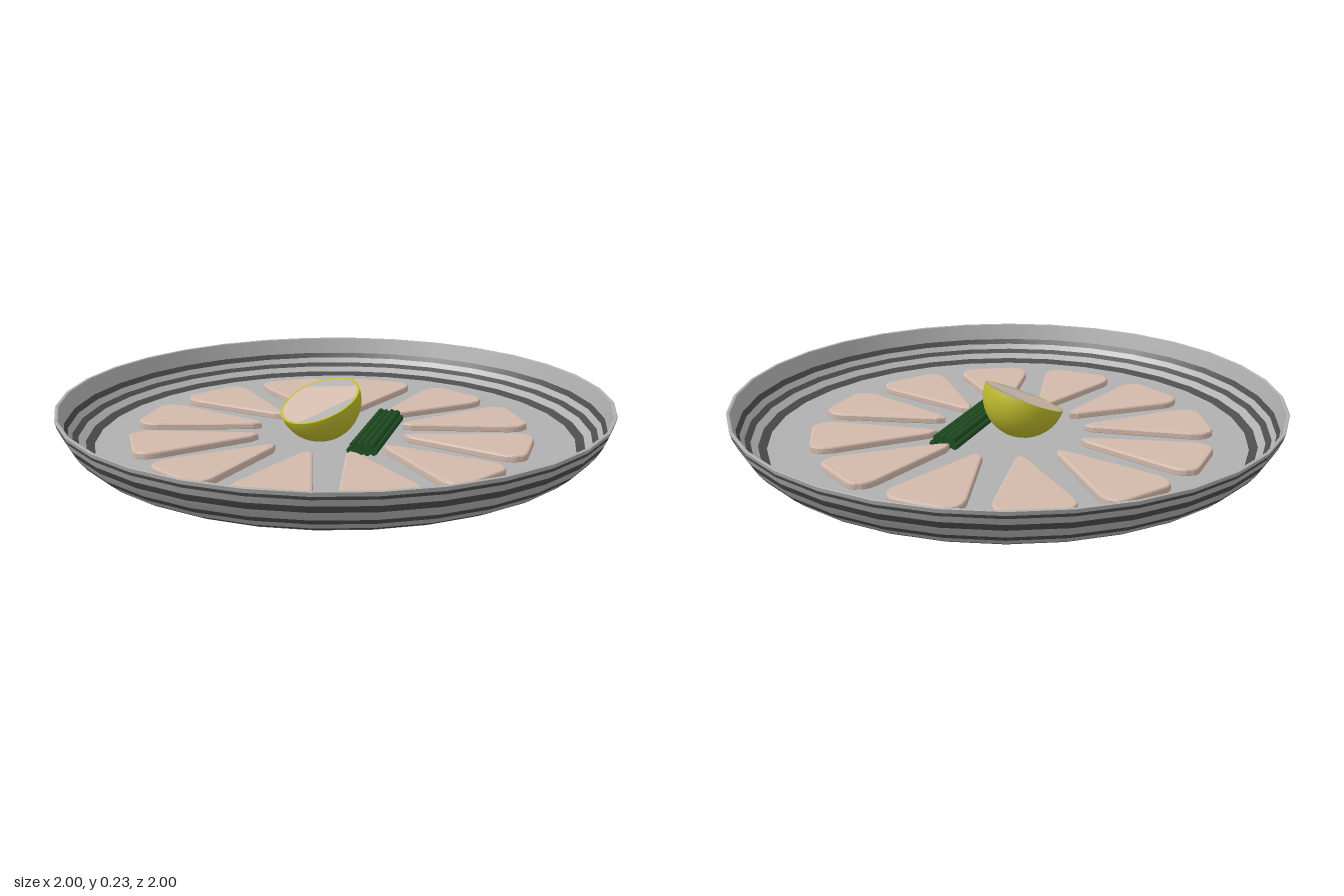
import * as THREE from 'three';

const mat = (name, color, side = THREE.FrontSide) => {
  const m = new THREE.MeshStandardMaterial({ color, side });
  m.name = name;
  return m;
};

export function createModel() {
  const glaze = mat('light grey glaze', 0xb0b0b0);
  const stripe = mat('dark grey stripe', 0x4c4c4c);
  const fish = mat('pale pink slice', 0xd2b9ab);
  const peel = mat('yellow green peel', 0xbdb92c);
  const chive = mat('dark green chive', 0x1f4d22);

  const model = new THREE.Group();
  model.name = 'platter';
  const add = (parent, name, geometry, material) => {
    const mesh = new THREE.Mesh(geometry, material);
    mesh.name = name;
    parent.add(mesh);
    return mesh;
  };

  // Plate: wall profiles as radius against height, cut into coloured bands
  const interp = (pts, y) => {
    let i = 1;
    while (i < pts.length - 1 && pts[i][1] < y) i++;
    const [r0, y0] = pts[i - 1], [r1, y1] = pts[i];
    return r0 + (r1 - r0) * (y - y0) / (y1 - y0);
  };
  const outer = [[0.82, 0], [0.86, 0.01], [0.9, 0.03], [0.935, 0.06], [0.96, 0.09], [0.98, 0.125], [0.993, 0.155], [1, 0.18]];
  const inner = [[0.87, 0.038], [0.9, 0.05], [0.925, 0.067], [0.945, 0.08], [0.96, 0.099], [0.972, 0.118], [0.988, 0.18]];
  const plate = new THREE.Group();
  plate.name = 'plate';
  model.add(plate);
  const lathe = (name, pts, material) =>
    add(plate, name, new THREE.LatheGeometry(pts.map(p => new THREE.Vector2(...p)), 32), material);
  const wall = (name, profile, cuts, down) => {
    for (let i = 1; i < cuts.length; i++) {
      const a = cuts[i - 1], b = cuts[i];
      const ys = [a, ...profile.map(p => p[1]).filter(y => y > a + 1e-4 && y < b - 1e-4), b];
      const pts = ys.map(y => [interp(profile, y), y]);
      if (down) pts.reverse();
      const dark = (i % 2 === 1) === down;
      lathe(name + (dark ? 'Stripe' : 'Band') + i, pts, dark ? stripe : glaze);
    }
  };
  lathe('underside', [[0, 0], [0.78, 0], [0.82, 0]], glaze);
  wall('outer', outer, [0, 0.018, 0.034, 0.058, 0.076, 0.108, 0.132, 0.155, 0.166, 0.18], false);
  lathe('rim', [[1, 0.18], [0.994, 0.183], [0.988, 0.18]], glaze);
  wall('inner', inner, [0.038, 0.05, 0.067, 0.08, 0.099, 0.118, 0.18], true);
  lathe('floor', [[0.87, 0.038], [0.8, 0.036], [0, 0.036]], glaze);

  // Ring of twelve wedge-shaped slices, point inward
  const wedge = new THREE.Shape();
  wedge.moveTo(0.275, 0);
  wedge.lineTo(0.3, -0.02);
  wedge.lineTo(0.64, -0.128);
  wedge.quadraticCurveTo(0.69, -0.138, 0.705, -0.12);
  wedge.quadraticCurveTo(0.728, -0.11, 0.728, -0.08);
  wedge.lineTo(0.728, 0.08);
  wedge.quadraticCurveTo(0.728, 0.11, 0.705, 0.12);
  wedge.quadraticCurveTo(0.69, 0.138, 0.64, 0.128);
  wedge.lineTo(0.3, 0.02);
  wedge.closePath();
  const sliceGeo = new THREE.ExtrudeGeometry(wedge, {
    depth: 0.016, bevelEnabled: true, bevelThickness: 0.007, bevelSize: 0.008,
    bevelOffset: -0.006, bevelSegments: 2, curveSegments: 4,
  }).rotateX(-Math.PI / 2);
  const slices = new THREE.Group();
  slices.name = 'slices';
  slices.position.set(-0.015, 0.038, 0);
  model.add(slices);
  for (let i = 0; i < 12; i++) {
    add(slices, 'slice' + (i + 1), sliceGeo, fish).rotation.y = i * Math.PI / 6 - 0.02;
  }

  // Bundle of chives, two stacked layers
  const chives = new THREE.Group();
  chives.name = 'chives';
  model.add(chives);
  const stalk = new THREE.CylinderGeometry(0.0125, 0.0125, 0.44, 7).rotateX(Math.PI / 2);
  for (let row = 0; row < 2; row++) {
    const n = 5 - row;
    for (let i = 0; i < n; i++) {
      add(chives, 'chive', stalk, chive).position.set(
        0.15 + (i - (n - 1) / 2) * 0.0215, 0.049 + row * 0.02, -0.01 + (i % 2 - 0.5) * 0.008);
    }
  }

  // Tilted half citrus: peel bowl, rim and cut face
  const citrus = new THREE.Group();
  citrus.name = 'citrusHalf';
  citrus.position.set(-0.05, 0.174, 0.035);
  citrus.quaternion.setFromUnitVectors(
    new THREE.Vector3(0, 1, 0), new THREE.Vector3(-0.25, 0.92, 0.3).normalize());
  model.add(citrus);
  const R = 0.152, r = 0.143;
  add(citrus, 'peel', new THREE.SphereGeometry(R, 32, 10, 0, Math.PI * 2, Math.PI / 2, Math.PI / 2), peel);
  add(citrus, 'peelRim', new THREE.RingGeometry(r, R, 32).rotateX(-Math.PI / 2), peel);
  add(citrus, 'cutFace', new THREE.CircleGeometry(r, 32).rotateX(-Math.PI / 2), fish).position.y = -0.002;
  // Grey patches on the cut face, each between a chord and the edge
  for (const [from, to] of [[24, 125], [-110, -7]]) {
    const patch = new THREE.Shape();
    patch.absarc(0, 0, r, from * Math.PI / 180, to * Math.PI / 180, false);
    patch.closePath();
    add(citrus, 'cutFacePatch', new THREE.ShapeGeometry(patch, 12).rotateX(-Math.PI / 2), glaze).position.y = -0.0005;
  }

  return model;
}
